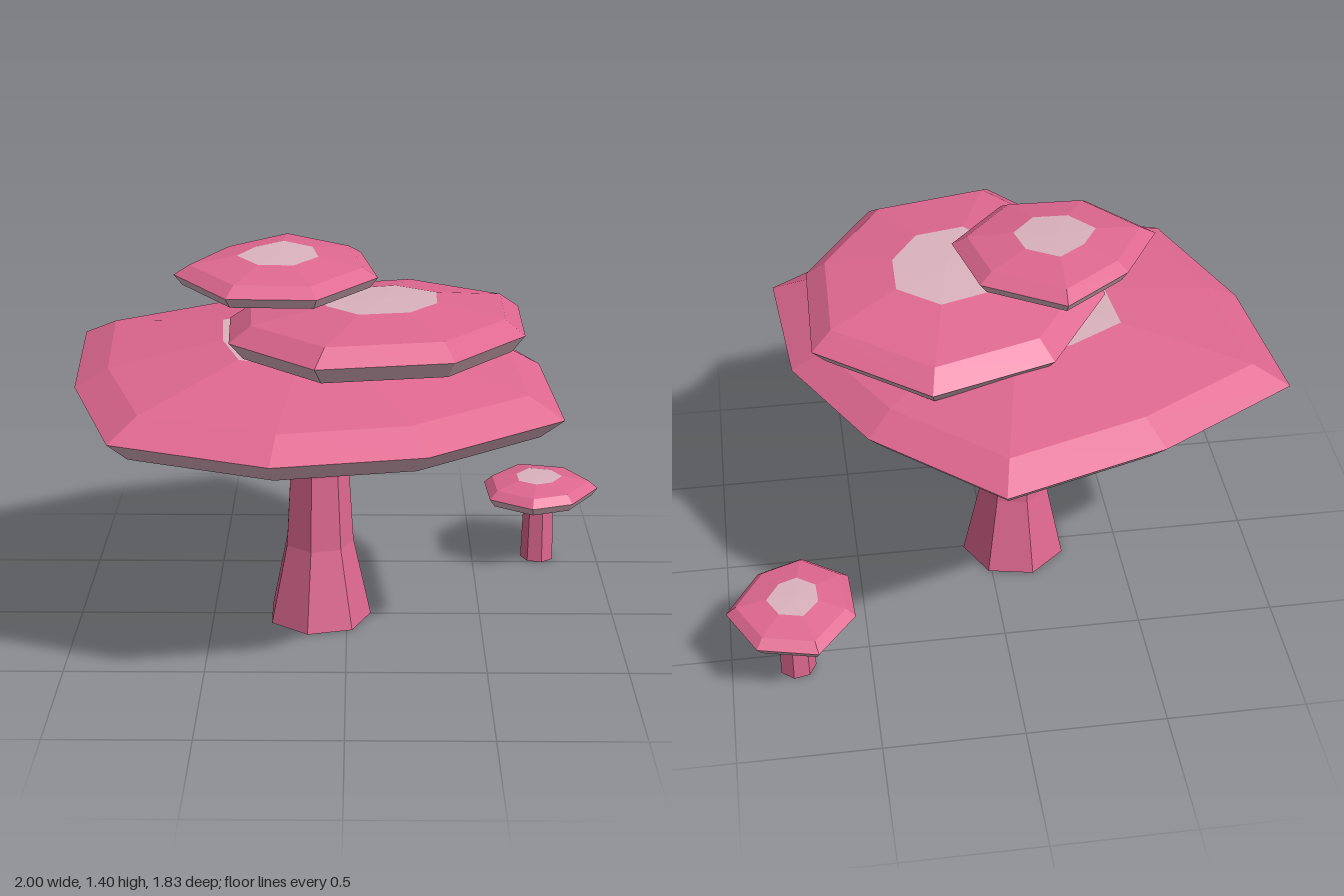
import * as THREE from 'three';

const pink = new THREE.MeshStandardMaterial({ color: 0xdf6890, flatShading: true });
pink.name = 'pink';
const pale = new THREE.MeshStandardMaterial({ color: 0xdbb3bf, flatShading: true });
pale.name = 'pale pink';

// Faceted skin joining neighbouring rings, listed from bottom to top.
function skin(name, material, rings) {
  const pos = [];
  for (let r = 0; r < rings.length - 1; r++) {
    const lo = rings[r], up = rings[r + 1], n = lo.points.length;
    for (let i = 0; i < n; i++) {
      const j = (i + 1) % n;
      if (up.scale > 0) pos.push(...lo.points[i], ...up.points[i], ...up.points[j]);
      if (lo.scale > 0) pos.push(...lo.points[i], ...up.points[j], ...lo.points[j]);
    }
  }
  const geo = new THREE.BufferGeometry();
  geo.setAttribute('position', new THREE.Float32BufferAttribute(pos, 3));
  geo.computeVertexNormals();
  const mesh = new THREE.Mesh(geo, material);
  mesh.name = name;
  return mesh;
}

// Cap: an irregular rim outline scaled about its centre at several heights.
// Each level is [scale, height above the rim]; tilt is the rise along z.
function cap(name, { outline, centre, y, tilt, levels }) {
  const [cx, cz] = centre;
  const rings = levels.map(([scale, dy]) => ({
    scale,
    points: outline.map(([x, z]) => {
      const pz = cz + (z - cz) * scale;
      return [cx + (x - cx) * scale, y + dy + tilt * pz, pz];
    }),
  }));
  const group = new THREE.Group();
  group.name = name;
  group.add(
    skin('underside', pink, rings.slice(0, 3)),
    skin('rimBand', pale, rings.slice(2, 4)),
    skin('capTop', pink, rings.slice(3, 6)),
    skin('topPatch', pale, rings.slice(5, 7)),
  );
  return group;
}

// Faceted stem with a closed foot; profile is [radius, height].
function stem(name, profile, sides, x, z, turn = 0) {
  const points = [[0, profile[0][1]], ...profile].map(([r, h]) => new THREE.Vector2(r, h));
  const mesh = new THREE.Mesh(new THREE.LatheGeometry(points, sides, turn), pink);
  mesh.name = name;
  mesh.position.set(x, 0, z);
  return mesh;
}

export function createModel() {
  const model = new THREE.Group();
  model.name = 'mushrooms';

  // Large mushroom: flared stem and three stacked caps
  model.add(stem('mainStem', [[0.195, 0], [0.13, 0.3], [0.113, 0.58], [0.135, 0.82]], 7, -0.105, 0, -0.2));
  model.add(cap('lowerCap', {
    outline: [[-1, -0.43], [-0.5, -0.73], [0.06, -0.92], [0.47, -0.53], [0.7, -0.08],
      [0.74, 0.49], [0.27, 0.82], [-0.24, 0.91], [-0.78, 0.72], [-0.96, 0.18]],
    centre: [-0.12, 0.02], y: 0.96, tilt: -0.044,
    levels: [[0, -0.19], [0.15, -0.183], [0.91, -0.075], [1, 0], [0.86, 0.065], [0.38, 0.14], [0, 0.15]],
  }));
  model.add(cap('middleCap', {
    outline: [[-0.42, -0.03], [-0.18, -0.39], [0.25, -0.52], [0.63, -0.23], [0.62, 0.23],
      [0.36, 0.6], [-0.1, 0.69], [-0.4, 0.35]],
    centre: [0.13, 0.08], y: 1.15, tilt: 0.04,
    levels: [[0, -0.1], [0.3, -0.095], [0.91, -0.06], [1, 0], [0.86, 0.055], [0.38, 0.095], [0, 0.1]],
  }));
  model.add(stem('upperStem', [[0.06, 1.08], [0.055, 1.27]], 6, -0.23, -0.09));
  model.add(cap('upperCap', {
    outline: [[-0.61, 0.06], [-0.46, -0.2], [-0.22, -0.39], [0.05, -0.21], [0.11, 0.09],
      [-0.1, 0.34], [-0.41, 0.33]],
    centre: [-0.24, 0], y: 1.335, tilt: -0.06,
    levels: [[0, -0.1], [0.2, -0.095], [0.92, -0.038], [1, 0], [0.85, 0.033], [0.4, 0.058], [0, 0.06]],
  }));

  // Small mushroom beside it
  model.add(stem('smallStem', [[0.067, 0], [0.06, 0.25]], 7, 0.765, -0.56, 0.2));
  model.add(cap('smallCap', {
    outline: [[0.55, -0.64], [0.69, -0.81], [0.9, -0.76], [1, -0.57], [0.88, -0.38],
      [0.72, -0.32], [0.56, -0.43]],
    centre: [0.76, -0.57], y: 0.3, tilt: 0.015,
    levels: [[0, -0.068], [0.25, -0.066], [0.9, -0.033], [1, 0], [0.85, 0.03], [0.4, 0.05], [0, 0.052]],
  }));
  return model;
}
